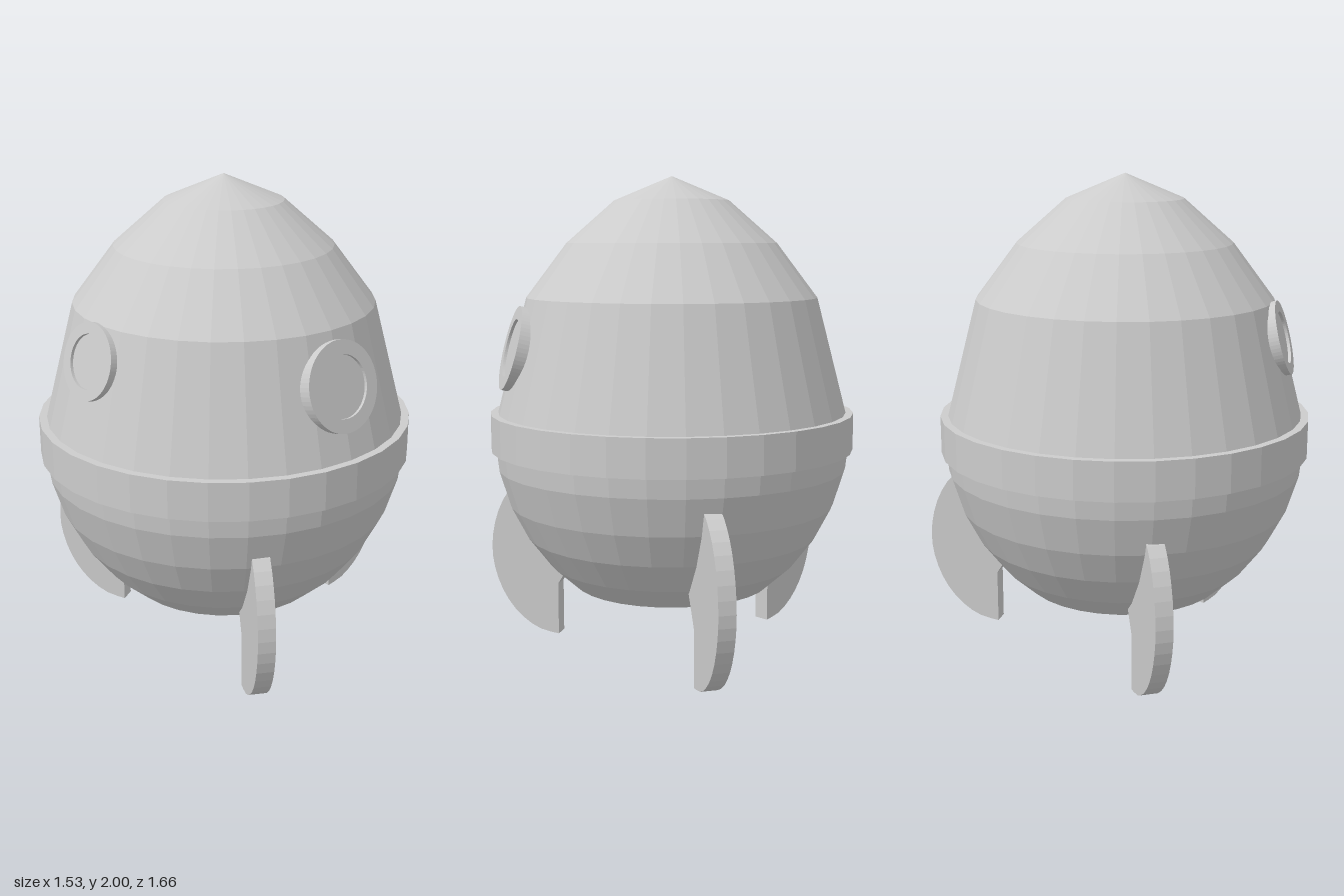
import * as THREE from 'three';

const flat = new THREE.MeshStandardMaterial({ color: 0xcccccc, flatShading: true });
const AXIS_Z = 0.065; // the hull sits slightly forward of the fins' centre

function mesh(name, geometry) {
  const m = new THREE.Mesh(geometry, flat);
  m.name = name;
  return m;
}

// Revolved part from [radius, height] pairs, listed bottom to top on the outside
function lathe(name, profile) {
  const m = mesh(name, new THREE.LatheGeometry(profile.map(([r, y]) => new THREE.Vector2(r, y)), 32));
  m.position.z = AXIS_Z;
  return m;
}

// Porthole: raised ring with recessed glass, facing outward along the sloping hull
function porthole(name, x, y, z, angle, outer, inner) {
  const group = new THREE.Group();
  group.name = name;
  const shape = new THREE.Shape().absarc(0, 0, outer, 0, Math.PI * 2);
  shape.holes.push(new THREE.Path().absarc(0, 0, inner, 0, Math.PI * 2, true));
  const ring = mesh('portholeRing', new THREE.ExtrudeGeometry(shape, { depth: 0.05, bevelEnabled: false, curveSegments: 32 }));
  ring.position.z = -0.05;
  const glass = mesh('portholeGlass', new THREE.CircleGeometry(inner, 32));
  glass.position.z = -0.012;
  group.add(ring, glass);
  group.position.set(x, y, z);
  group.rotation.set(-0.255, angle, 0, 'YXZ');
  return group;
}

// Curved landing fin, drawn as radius against height
function finGeometry() {
  const shape = new THREE.Shape();
  shape.moveTo(0.535, 0);
  shape.splineThru([
    [0.63, 0.02], [0.72, 0.08], [0.79, 0.17], [0.833, 0.28], [0.845, 0.39],
    [0.825, 0.51], [0.775, 0.62], [0.7, 0.7], [0.6, 0.76],
  ].map(([r, y]) => new THREE.Vector2(r, y)));
  shape.lineTo(0.5, 0.74);
  shape.lineTo(0.41, 0.43);
  shape.lineTo(0.535, 0.23);
  shape.closePath();
  return new THREE.ExtrudeGeometry(shape, { depth: 0.07, bevelEnabled: false, curveSegments: 2 });
}

export function createModel() {
  const model = new THREE.Group();
  model.name = 'rocket';

  // Egg-shaped hull, including the hollow in its base
  model.add(lathe('hull', [
    [0, 0.33], [0.29, 0.345], [0.42, 0.275], [0.525, 0.37], [0.62, 0.495], [0.69, 0.63],
    [0.738, 0.785], [0.75, 0.9], [0.735, 1.02], [0.61, 1.5], [0.44, 1.725], [0.24, 1.9], [0, 2],
  ]));

  // Belt around the middle
  model.add(lathe('belt', [[0.72, 0.865], [0.767, 0.865], [0.767, 1.02], [0.72, 1.02]]));

  // Portholes on the front and left side
  model.add(porthole('frontPorthole', -0.02, 1.365, 0.727, 0, 0.15, 0.105));
  model.add(porthole('sidePorthole', 0.685, 1.3, 0.067, Math.PI / 2, 0.176, 0.121));

  // Three fins spaced evenly around the base
  const geometry = finGeometry();
  for (let i = 0; i < 3; i++) {
    const fin = mesh('fin' + (i + 1), geometry);
    fin.position.z = 0.015;
    fin.rotation.y = Math.PI / 2 + (i * Math.PI * 2) / 3;
    model.add(fin);
  }
  return model;
}
